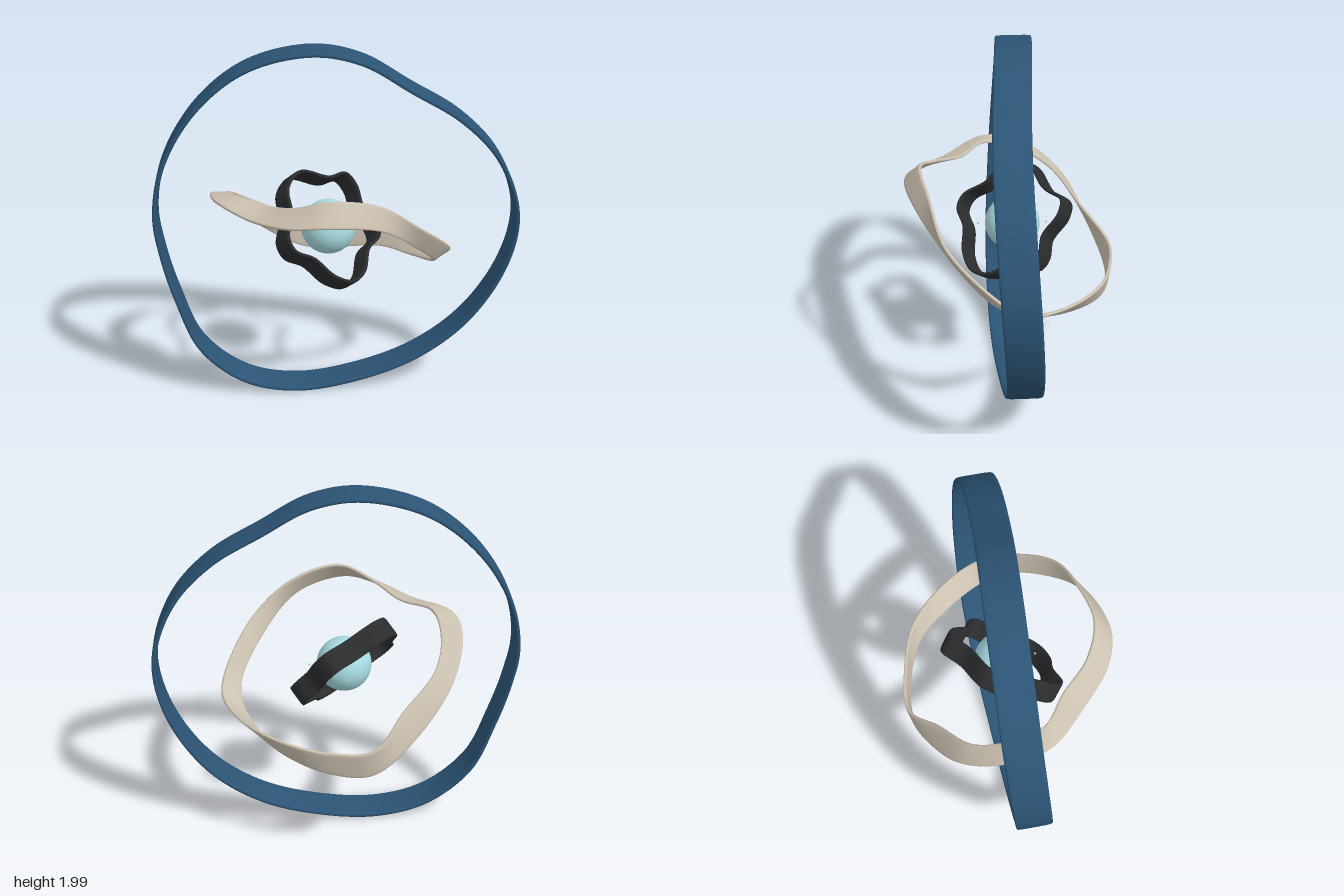
import * as THREE from 'three';

const V = (x, y, z) => new THREE.Vector3(x, y, z);
const mat = (color) => new THREE.MeshStandardMaterial({ color });

// Closed smooth band stretched between two paired edge loops
function band(name, topPts, bottomPts, thickness, color) {
  const top = new THREE.CatmullRomCurve3(topPts, true);
  const bottom = new THREE.CatmullRomCurve3(bottomPts, true);
  const N = 200, M = 20, pos = [], idx = [];
  const mid = (t) => top.getPoint(t).lerp(bottom.getPoint(t), 0.5);
  // squarish rounded section
  const sq = (v) => Math.sign(v) * Math.pow(Math.abs(v), 0.4);
  for (let i = 0; i < N; i++) {
    const t = i / N;
    const c = mid(t);
    const w = top.getPoint(t).sub(c);
    const tangent = mid((t + 0.002) % 1).sub(mid((t + 0.998) % 1));
    const n = tangent.cross(w).normalize().multiplyScalar(thickness / 2);
    for (let j = 0; j < M; j++) {
      const a = (j / M) * Math.PI * 2;
      const p = c.clone().addScaledVector(w, sq(Math.cos(a))).addScaledVector(n, sq(Math.sin(a)));
      pos.push(p.x, p.y, p.z);
      const i2 = (i + 1) % N, j2 = (j + 1) % M;
      const A = i * M + j, B = i * M + j2, C = i2 * M + j, D = i2 * M + j2;
      idx.push(A, B, C, B, D, C);
    }
  }
  const g = new THREE.BufferGeometry();
  g.setAttribute('position', new THREE.Float32BufferAttribute(pos, 3));
  g.setIndex(idx);
  g.computeVertexNormals();
  const mesh = new THREE.Mesh(g, mat(color));
  mesh.name = name;
  return mesh;
}

export function createModel() {
  const group = new THREE.Group();
  group.name = 'orbitSculpture';
  const centre = V(-0.045, 0.99, -0.015);

  // Outer upright ring: outline in x, y; sways along z twice per turn
  const outline = [
    [-0.13, 1.985], [0.13, 1.94], [0.39, 1.79], [0.65, 1.63], [0.85, 1.42], [0.965, 1.155], [0.975, 0.94],
    [0.89, 0.66], [0.70, 0.38], [0.435, 0.18], [0.12, 0.065], [-0.23, 0.02], [-0.52, 0.09], [-0.76, 0.30],
    [-0.88, 0.60], [-0.95, 0.86], [-0.98, 1.10], [-0.92, 1.39], [-0.735, 1.69], [-0.47, 1.90],
  ];
  const outerEdge = (half) => outline.map(([x, y]) => {
    const a = Math.atan2(y - 1, x);
    return V(x, y, -0.015 + 0.03 * Math.sin(2 * a) + half);
  });
  group.add(band('outerRing', outerEdge(0.098), outerEdge(-0.098), 0.026, 0x2c5475));

  // Middle ring: upper and lower edges, front -> left -> back -> right
  const upper = [
    [-0.05, 1.35, 0.475], [0.20, 1.30, 0.43], [0.43, 1.13, 0.35], [0.60, 0.92, 0.10], [0.625, 0.83, -0.04],
    [0.53, 0.80, -0.25], [0.32, 0.79, -0.46], [0.05, 0.76, -0.55], [-0.17, 0.78, -0.565], [-0.33, 0.92, -0.42],
    [-0.51, 1.07, -0.26], [-0.56, 1.17, -0.08], [-0.53, 1.235, 0.12], [-0.37, 1.235, 0.25], [-0.23, 1.285, 0.40],
  ];
  const lower = [
    [-0.08, 1.238, 0.565], [0.20, 1.18, 0.48], [0.41, 0.99, 0.29], [0.52, 0.83, 0.10], [0.51, 0.76, -0.04],
    [0.42, 0.70, -0.24], [0.27, 0.665, -0.43], [0.05, 0.617, -0.53], [-0.17, 0.617, -0.55], [-0.41, 0.79, -0.46],
    [-0.60, 1.01, -0.31], [-0.68, 1.17, -0.08], [-0.65, 1.21, 0.13], [-0.45, 1.19, 0.355], [-0.26, 1.215, 0.515],
  ];
  group.add(band('middleRing', upper.map((p) => V(...p)), lower.map((p) => V(...p)), 0.02, 0xcbc1b0));

  // Inner ring: five-lobed outline in a tilted plane
  const n = V(0.56, 0.63, 0.54).normalize();
  const across = V(0, 1, 0).cross(n).normalize();
  const rise = n.clone().cross(across);
  const lobes = [
    [-0.04, 0.33], [0.13, 0.24], [0.26, 0.22], [0.285, 0.14], [0.25, 0], [0.28, -0.10], [0.26, -0.17],
    [0.14, -0.21], [0.03, -0.31], [-0.08, -0.33], [-0.18, -0.26], [-0.25, -0.13], [-0.34, -0.05],
    [-0.34, 0.03], [-0.24, 0.14], [-0.18, 0.27],
  ];
  const innerEdge = (half) => lobes.map(([a, b]) => centre.clone()
    .addScaledVector(across, a).addScaledVector(rise, b).addScaledVector(n, half));
  group.add(band('innerRing', innerEdge(0.06), innerEdge(-0.06), 0.02, 0x2b2c2e));

  // Central ball with tiny beads floating around it
  const ball = (name, r, p) => {
    const m = new THREE.Mesh(new THREE.SphereGeometry(r, 48, 32), mat(0xa9dde3));
    m.name = name;
    m.position.copy(p);
    group.add(m);
  };
  ball('core', 0.15, centre);
  for (const [x, z] of [[0.19, 0], [0, 0.185], [0, -0.185]]) {
    ball('bead', 0.006, centre.clone().add(V(x, 0, z)));
  }
  return group;
}
